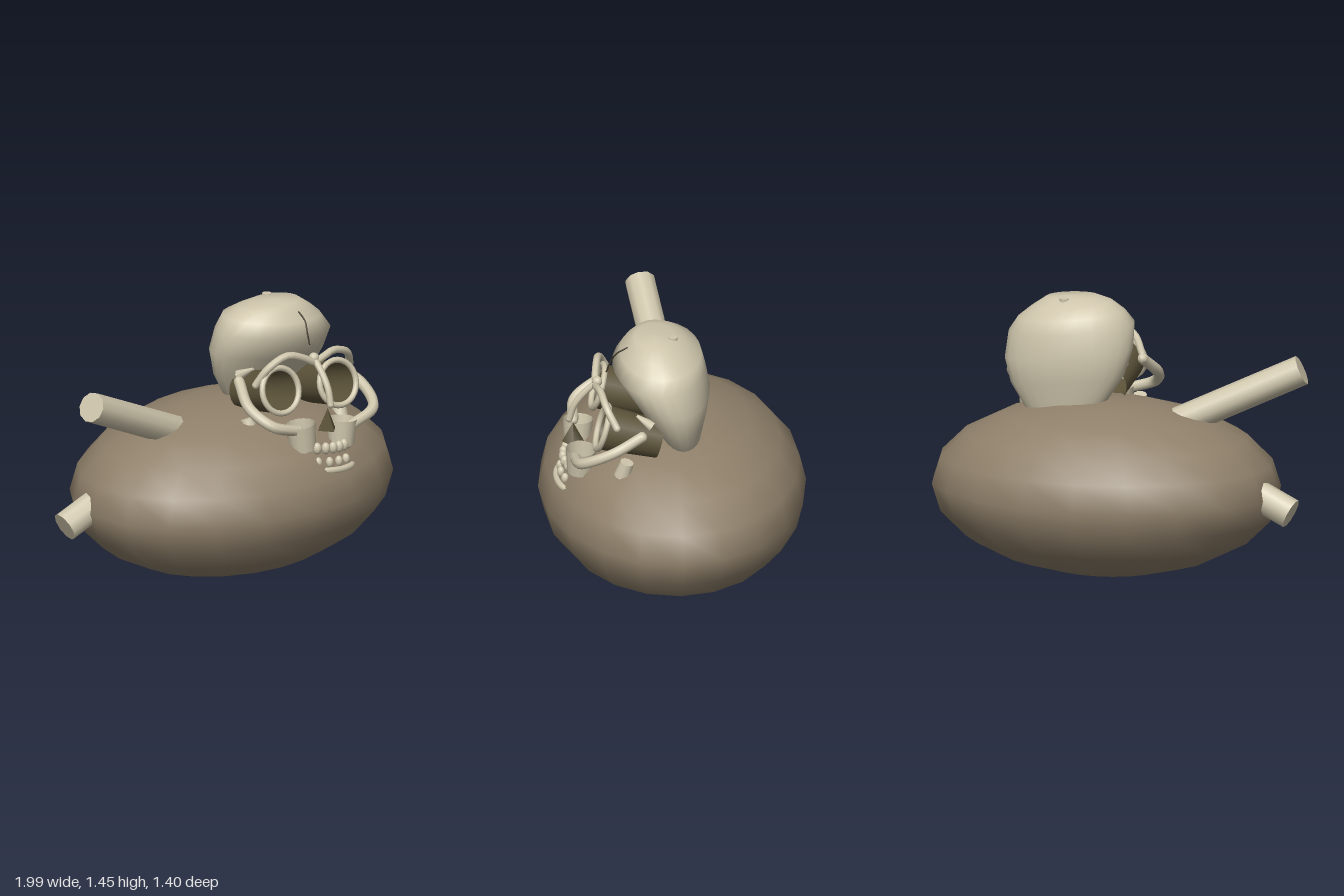
import * as THREE from 'three';

const mat = (name, color, side = THREE.FrontSide) => {
  const m = new THREE.MeshStandardMaterial({ color, side });
  m.name = name;
  return m;
};

export function createModel() {
  const earth = mat('earth', 0x8f806a);
  const bone = mat('bone', 0xcfc6ac, THREE.DoubleSide);
  const dark = mat('hollow', 0x5c5339, THREE.DoubleSide);
  const crackMat = mat('crack', 0x3a3226);
  const root = new THREE.Group();
  root.name = 'buriedSkull';
  const V = (p) => new THREE.Vector3(...p);

  const add = (name, geo, material, pos = [0, 0, 0], parent = root) => {
    const m = new THREE.Mesh(geo, material);
    m.name = name;
    m.position.set(...pos);
    parent.add(m);
    return m;
  };
  // Cylinder running from a to b
  const rod = (name, a, b, ra, rb, material, sides = 12, open = false) => {
    const d = V(b).sub(V(a));
    const mid = V(a).addScaledVector(d, 0.5);
    const m = add(name, new THREE.CylinderGeometry(rb, ra, d.length(), sides, 1, open), material, mid.toArray());
    m.quaternion.setFromUnitVectors(new THREE.Vector3(0, 1, 0), d.normalize());
    return m;
  };
  // Smooth tube with closed ends
  const tube = (name, pts, r, material = bone) => {
    const g = new THREE.Group();
    g.name = name;
    root.add(g);
    const curve = new THREE.CatmullRomCurve3(pts.map(V));
    add(name + 'Shaft', new THREE.TubeGeometry(curve, 24, r, 8), material, [0, 0, 0], g);
    for (const p of [pts[0], pts[pts.length - 1]]) {
      add(name + 'End', new THREE.SphereGeometry(r, 8, 6), material, p, g);
    }
  };

  // Mound
  const mound = new THREE.SphereGeometry(1, 20, 10);
  mound.scale(0.93, 0.465, 0.7);
  add('mound', mound, earth, [0.065, 0.47, 0]);

  // Two long bones sticking out of the mound
  rod('upperLongBone', [-0.96, 1.12, 0.105], [-0.2, 0.77, -0.01], 0.08, 0.08, bone, 10);
  rod('lowerLongBone', [-0.96, 0.4, -0.115], [-0.5, 0.62, -0.07], 0.08, 0.08, bone, 10);

  // Cranium lofted from rings: height, back z, front z, half width
  const rings = [
    [0.85, -0.13, 0.04, 0.18], [0.9, -0.14, 0.07, 0.22], [1.03, -0.165, 0.155, 0.305],
    [1.16, -0.185, 0.24, 0.343], [1.29, -0.16, 0.325, 0.335], [1.36, -0.14, 0.285, 0.285],
    [1.41, -0.06, 0.245, 0.215], [1.445, 0.0, 0.21, 0.14], [1.452, 0.1, 0.1, 0.001],
  ];
  const sides = 24;
  const pos = [];
  const idx = [];
  rings.forEach(([y, back, front, rx], i) => {
    for (let j = 0; j < sides; j++) {
      const a = (j / sides) * Math.PI * 2;
      const x = Math.cos(a) * rx;
      const tilt = i < 7 ? -0.1 : -0.04;
      pos.push(0.275 + x, y + tilt * x, (front + back) / 2 + Math.sin(a) * (front - back) / 2);
      if (i === rings.length - 1) continue;
      const k = i * sides + j;
      const n = i * sides + (j + 1) % sides;
      idx.push(k, k + sides, n, n, k + sides, n + sides);
    }
  });
  const cranium = new THREE.BufferGeometry();
  cranium.setAttribute('position', new THREE.Float32BufferAttribute(pos, 3));
  cranium.setIndex(idx);
  cranium.computeVertexNormals();
  add('cranium', cranium, bone);
  add('crownPlug', new THREE.CylinderGeometry(0.025, 0.025, 0.03, 12), bone, [0.295, 1.435, 0.01]);

  // Crack down the forehead
  tube('foreheadCrack', [[0.315, 1.405, 0.25], [0.312, 1.37, 0.305], [0.302, 1.32, 0.335], [0.3, 1.26, 0.357]], 0.004, crackMat);

  // Eye sockets and rims
  for (const [side, x, y] of [['right', 0.08, 1.06], ['left', 0.465, 1.02]]) {
    rod(side + 'EyeSocket', [x, y - 0.08, 0.09], [x, y, 0.385], 0.1, 0.12, dark, 20, true);
    const rim = add(side + 'EyeRim', new THREE.TorusGeometry(0.119, 0.016, 8, 28), bone, [x, y, 0.388]);
    rim.rotation.x = -0.3;
  }

  // Brow ridge and nasal bridge
  tube('browRidge', [[-0.04, 1.1, 0.33], [0.01, 1.19, 0.37], [0.12, 1.245, 0.395], [0.22, 1.215, 0.41],
    [0.285, 1.18, 0.415], [0.35, 1.195, 0.41], [0.43, 1.21, 0.395], [0.54, 1.17, 0.37], [0.6, 1.08, 0.32]], 0.02);
  tube('nasalBridge', [[0.29, 1.2, 0.405], [0.29, 1.13, 0.475], [0.288, 1.06, 0.525], [0.285, 0.98, 0.55]], 0.018);
  add('browKnob', new THREE.SphereGeometry(0.028, 10, 8), bone, [0.29, 1.2, 0.405]);

  // Cheek arches
  tube('rightCheekArch', [[-0.07, 1.1, 0.23], [-0.115, 1.0, 0.37], [-0.06, 0.92, 0.5], [0.09, 0.87, 0.52]], 0.029);
  tube('leftCheekArch', [[0.61, 1.03, 0.19], [0.66, 0.965, 0.34], [0.61, 0.885, 0.5], [0.44, 0.83, 0.53]], 0.029);

  // Upper jaw blocks, open at the top
  rod('rightUpperJaw', [0.14, 0.755, 0.5], [0.125, 0.895, 0.495], 0.068, 0.08, bone, 14, true);
  rod('leftUpperJaw', [0.395, 0.73, 0.5], [0.405, 0.865, 0.495], 0.068, 0.08, bone, 14, true);

  // Nose opening
  const nose = add('noseOpening', new THREE.ConeGeometry(0.058, 0.115, 4), dark, [0.278, 0.9, 0.53]);
  nose.rotation.z = -0.06;

  // Teeth on two arcs
  const teeth = (name, count, x0, x1, y, z, bow, size) => {
    for (let i = 0; i < count; i++) {
      const t = count > 1 ? i / (count - 1) : 0.5;
      const u = t * 2 - 1;
      const g = new THREE.SphereGeometry(1, 10, 8);
      g.scale(size, size * 1.4, size);
      add(name + (i + 1), g, bone, [x0 + (x1 - x0) * t, y - 0.1 * (t - 0.5) * (x1 - x0), z - bow * u * u]);
    }
  };
  teeth('upperTooth', 7, 0.14, 0.41, 0.755, 0.582, 0.045, 0.023);
  teeth('lowerTooth', 4, 0.18, 0.365, 0.682, 0.597, 0.02, 0.021);

  // Half buried lower jaw and its hinge ends
  tube('lowerJaw', [[0.15, 0.655, 0.575], [0.22, 0.648, 0.61], [0.3, 0.64, 0.615], [0.38, 0.635, 0.595], [0.42, 0.63, 0.56]], 0.018);
  rod('leftJawHinge', [0.56, 0.78, 0.29], [0.57, 0.865, 0.265], 0.045, 0.036, bone, 10);
  rod('rightJawHinge', [-0.04, 0.82, 0.29], [-0.045, 0.9, 0.265], 0.045, 0.036, bone, 10);

  // Temple spurs
  rod('leftTempleSpur', [0.5, 1.1, 0.21], [0.53, 1.05, 0.13], 0.008, 0.03, bone, 8);
  rod('rightTempleSpur', [0.04, 1.14, 0.21], [0.01, 1.09, 0.13], 0.008, 0.03, bone, 8);

  return root;
}
